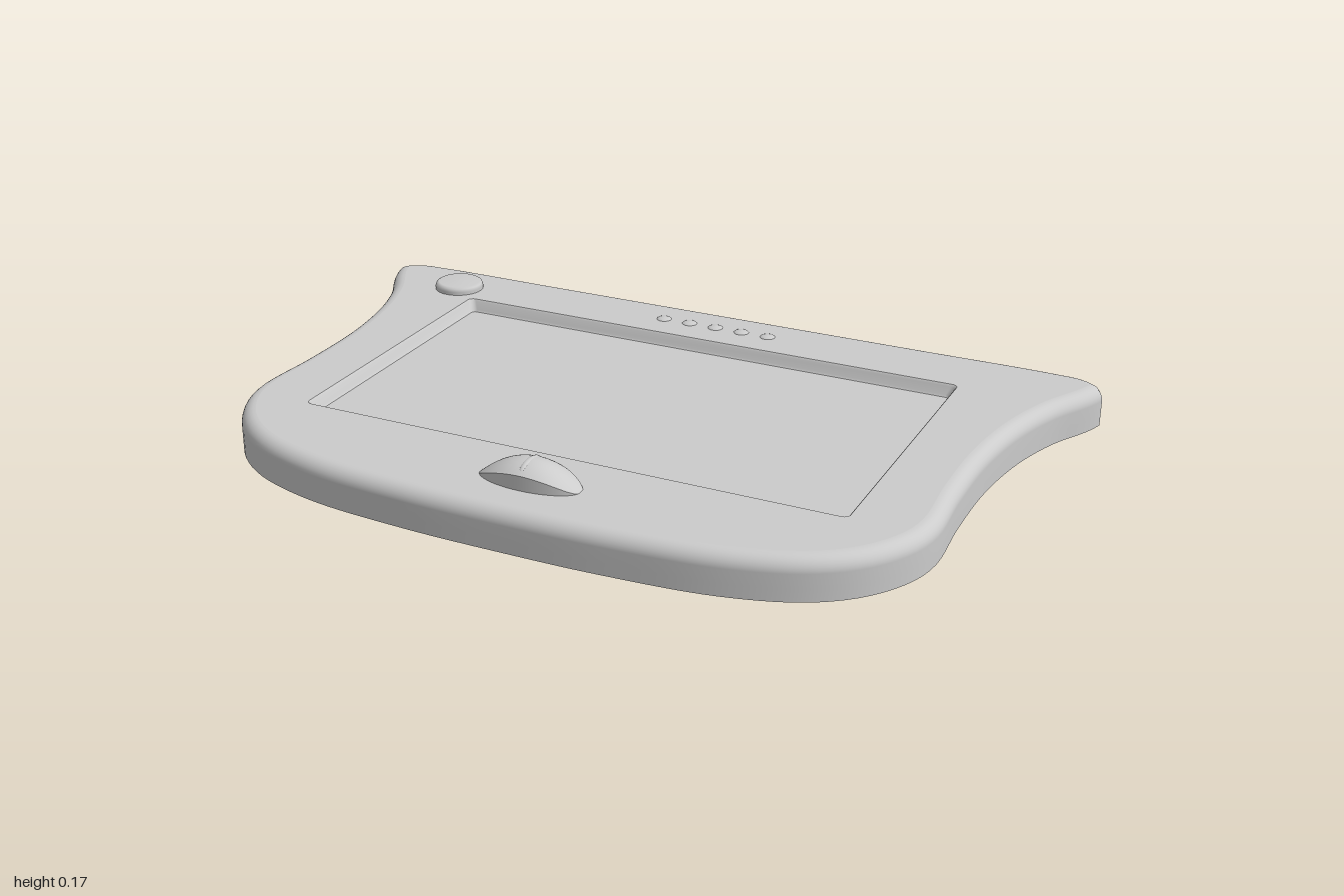
import * as THREE from 'three';

const material = new THREE.MeshStandardMaterial({ color: 0xcccccc, side: THREE.DoubleSide });

const TOP = 0.12, RIM = 0.02;

// Skin over closed rings of [x, y, z] points
function loft(rings) {
  const n = rings[0].length, index = [];
  for (let j = 0; j < rings.length - 1; j++) {
    for (let i = 0; i < n; i++) {
      const k = (i + 1) % n, a = j * n + i, b = j * n + k;
      index.push(a, a + n, b, b, a + n, b + n);
    }
  }
  const geo = new THREE.BufferGeometry();
  geo.setAttribute('position', new THREE.Float32BufferAttribute(rings.flat(2), 3));
  geo.setIndex(index);
  geo.computeVertexNormals();
  return geo;
}

// Flat horizontal sheet from a ring, with an optional hole
function sheet(ring, hole) {
  const to2 = (r) => r.map(([x, , z]) => new THREE.Vector2(x, -z));
  const shape = new THREE.Shape(to2(ring));
  if (hole) shape.holes.push(new THREE.Path(to2(hole)));
  const geo = new THREE.ShapeGeometry(shape);
  geo.rotateX(-Math.PI / 2);
  geo.translate(0, ring[0][1], 0);
  return geo;
}

// Flared outline of the casing, mirrored about x = 0
function outline() {
  const half = [
    [0.5, -0.635], [0.86, -0.635], [0.95, -0.625], [0.997, -0.585], [0.982, -0.53],
    [0.925, -0.42], [0.88, -0.28], [0.853, -0.1], [0.85, 0.1], [0.857, 0.28],
    [0.835, 0.37], [0.77, 0.47], [0.67, 0.545], [0.5, 0.6], [0.25, 0.625],
  ];
  const mirrored = half.map(([x, z]) => [-x, z]).reverse();
  const pts = [[0, -0.635], ...half, [0, 0.63], ...mirrored];
  const curve = new THREE.CatmullRomCurve3(pts.map(([x, z]) => new THREE.Vector3(x, 0, z)), true);
  const count = 200;
  return Array.from({ length: count }, (_, i) => ({
    p: curve.getPointAt(i / count), t: curve.getTangentAt(i / count),
  }));
}

// Rounded rectangle ring, inset from the screen opening
function screenRing(inset, y, r = 0.015) {
  const hx = 0.68 - inset, z0 = -0.435 + inset, z1 = 0.34 - inset, ring = [];
  const corners = [[hx - r, z0 + r], [hx - r, z1 - r], [-hx + r, z1 - r], [-hx + r, z0 + r]];
  corners.forEach(([cx, cz], q) => {
    for (let i = 0; i <= 4; i++) {
      const a = (q - 1 + i / 4) * Math.PI / 2;
      ring.push([cx + r * Math.cos(a), y, cz + r * Math.sin(a)]);
    }
  });
  return ring;
}

function lathe(profile, segments) {
  return new THREE.LatheGeometry(profile.map(([r, y]) => new THREE.Vector2(r, y)), segments);
}

export function createModel() {
  const model = new THREE.Group();
  const add = (name, geo, parent = model) => {
    const mesh = new THREE.Mesh(geo, material);
    mesh.name = name;
    parent.add(mesh);
    return mesh;
  };

  // Casing: open-bottomed shell with a rounded upper edge
  const path = outline(), radius = 0.035;
  const caseRing = (inset, y) => path.map(({ p, t }) => [p.x - t.z * inset, y, p.z + t.x * inset]);
  const rings = [caseRing(0, RIM), caseRing(0, 0.05)];
  for (let i = 0; i <= 8; i++) {
    const a = i / 8 * Math.PI / 2;
    rings.push(caseRing(radius * (1 - Math.cos(a)), TOP - radius * (1 - Math.sin(a))));
  }
  add('casingWall', loft(rings));
  add('casingTop', sheet(rings[rings.length - 1], screenRing(0, TOP)));

  // Recessed screen with a small sloping surround
  const floorRing = screenRing(0.016, TOP - 0.03, 0.01);
  add('screenSurround', loft([
    screenRing(0, TOP), screenRing(0.004, TOP - 0.005), screenRing(0.012, TOP - 0.025), floorRing,
  ]));
  add('screen', sheet(floorRing));

  // Round button through the top
  const button = add('roundButton', lathe(
    [[0.065, 0.012], [0.065, 0.128], [0.062, 0.136], [0.055, 0.14], [0, 0.141]], 40));
  button.position.set(-0.75, 0, -0.495);

  // Row of small domed studs
  const studs = new THREE.Group();
  studs.name = 'studRow';
  model.add(studs);
  for (let i = -2; i <= 2; i++) {
    const stud = add('stud', lathe(
      [[0.022, 0.075], [0.022, 0.117], [0.018, 0.122], [0.01, 0.124], [0, 0.125]], 20), studs);
    stud.position.set(i * 0.073, 0, -0.525);
  }

  // Oval rocker: arched along x, with a matching arched lower edge
  const rocker = new THREE.Group();
  rocker.name = 'rocker';
  rocker.position.z = 0.477;
  model.add(rocker);
  const oval = (s, lift) => Array.from({ length: 48 }, (_, i) => {
    const a = i / 48 * Math.PI * 2, c = Math.cos(a) * s;
    return [0.125 * c, lift + 0.037 * (1 - c * c), 0.053 * s * Math.sin(a)];
  });
  add('rockerWall', loft([oval(1, 0.005), oval(1, 0.118)]), rocker);
  const dome = [];
  for (let i = 0; i <= 10; i++) {
    const s = Math.max(1 - i / 10, 0.001);
    dome.push(oval(s, 0.118 + 0.019 * (1 - s * s)));
  }
  add('rockerTop', loft(dome), rocker);

  // Narrow raised seam across the rocker
  const seam = add('rockerSeam', new THREE.SphereGeometry(1, 20, 12), rocker);
  seam.scale.set(0.015, 0.021, 0.046);
  seam.position.y = 0.1545;

  return model;
}
